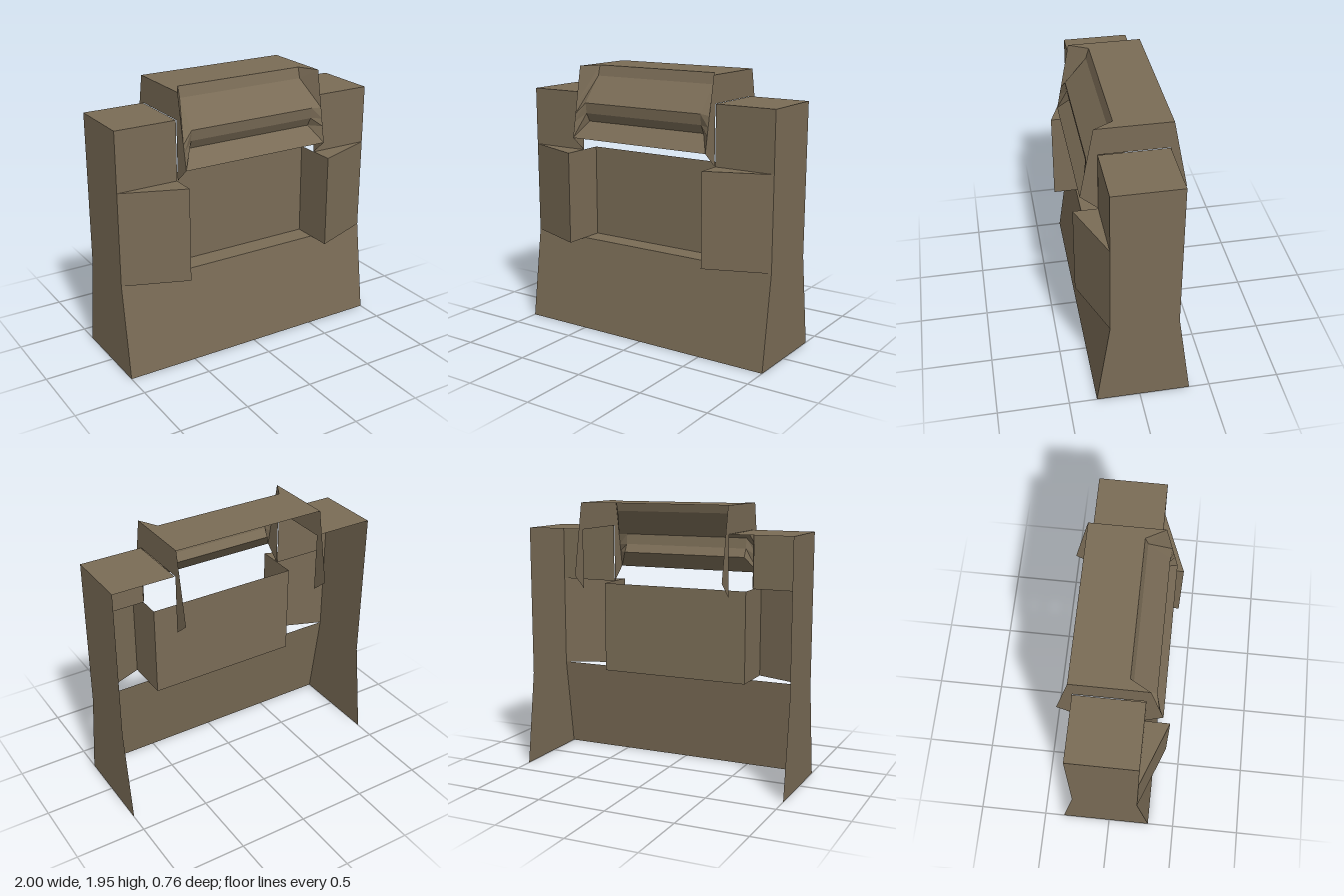
import * as THREE from 'three';

const W = 1, IN = 0.56, HEAD = 0.555, INNER = 0.48; // half widths
const FRONT = 0.21, BACK = -0.26;                    // upright depth
const LOW = 0.67, MID = 1.335, TOP = 1.755, CROWN = 1.945;

export function createModel() {
  const group = new THREE.Group();
  const shell = new THREE.MeshStandardMaterial({ color: 0x7a6c56, side: THREE.DoubleSide, flatShading: true });
  shell.name = 'drabBrown';

  const add = (name, geometry) => {
    const mesh = new THREE.Mesh(geometry, shell);
    mesh.name = name;
    group.add(mesh);
    return mesh;
  };

  // Convex sheets, each a list of [x, y, z] corners, counter-clockwise from outside
  const sheets = (name, faces) => {
    const pos = [];
    for (const f of faces) {
      for (let i = 1; i < f.length - 1; i++) pos.push(...f[0], ...f[i], ...f[i + 1]);
    }
    const g = new THREE.BufferGeometry();
    g.setAttribute('position', new THREE.Float32BufferAttribute(pos, 3));
    g.computeVertexNormals();
    return add(name, g);
  };

  // Same sheet on both sides; the mirrored copy has its corner order reversed
  const pair = (name, faces) => {
    sheets(name + 'Left', faces);
    sheets(name + 'Right', faces.map(f => f.map(([x, y, z]) => [-x, y, z]).reverse()));
  };

  // Flat side panels from a [z, y] outline
  const sidePanels = (name, outline, x) => {
    const shape = new THREE.Shape(outline.map(p => new THREE.Vector2(...p)));
    for (const s of [1, -1]) {
      const g = new THREE.ShapeGeometry(shape);
      g.rotateY(-Math.PI / 2); // outline x becomes z, facing -x
      if (s > 0) {
        const idx = g.index.array;
        for (let i = 0; i < idx.length; i += 3) [idx[i], idx[i + 1]] = [idx[i + 1], idx[i]];
        g.computeVertexNormals();
      }
      g.translate(s * x, 0, 0);
      add(name + (s > 0 ? 'Left' : 'Right'), g);
    }
  };

  // Flared body sides
  sidePanels('bodySide', [[0.305, 0], [FRONT, LOW], [FRONT, TOP], [BACK, TOP], [BACK, LOW], [-0.355, 0]], W);

  // Sloping front of the base
  sheets('basePanel', [[[-W, 0, 0.305], [W, 0, 0.305], [W, LOW, FRONT], [-W, LOW, FRONT]]]);

  // Uprights: front and top
  pair('upright', [
    [[IN, MID, FRONT], [W, MID, FRONT], [W, TOP, FRONT], [IN, TOP, FRONT]],
    [[IN, TOP, FRONT], [W, TOP, FRONT], [W, TOP, BACK], [IN, TOP, BACK]],
  ]);

  // Angled cheeks beside the niche: slanted front, top, inner wall
  const CHEEK = 0.38, NICHE = 0.06;
  pair('cheek', [
    [[IN, LOW, CHEEK], [W, LOW, FRONT], [W, MID, FRONT], [IN, MID, CHEEK]],
    [[IN, MID, CHEEK], [W, MID, FRONT], [IN, MID, FRONT]],
    [[IN, LOW, NICHE], [IN, LOW, CHEEK], [IN, MID, CHEEK], [IN, MID, NICHE]],
  ]);

  // Niche back and ledge
  sheets('nicheBack', [[[-IN, LOW, NICHE], [IN, LOW, NICHE], [IN, MID, NICHE], [-IN, MID, NICHE]]]);
  sheets('nicheLedge', [[[-IN, LOW, FRONT], [IN, LOW, FRONT], [IN, LOW, NICHE], [-IN, LOW, NICHE]]]);

  // Head sides, notched around the uprights
  sidePanels('headSide', [
    [0.235, CROWN], [0.33, 1.44], [FRONT, MID], [FRONT, TOP],
    [BACK, TOP], [BACK, MID], [-0.38, 1.44], [-0.28, CROWN],
  ], HEAD);

  // Head top with a recessed front edge
  sheets('headTop', [
    [[-INNER, CROWN, 0.1], [INNER, CROWN, 0.1], [HEAD, CROWN, -0.28], [-HEAD, CROWN, -0.28]],
  ]);
  pair('headTopCorner', [[[INNER, CROWN, 0.1], [HEAD, CROWN, 0.235], [HEAD, CROWN, -0.28]]]);

  // Stepped head front: inner profile lofted out to the side rims, as [y, z]
  const inner = [[CROWN, 0.1], [1.87, 0.122], [1.69, 0.275], [1.615, 0.265], [1.555, 0.232]];
  const rim = [[CROWN, 0.235], [1.685, 0.284], [1.61, 0.298], [1.555, 0.308], [1.44, 0.33]];
  const front = [], bevel = [];
  for (let i = 0; i < 4; i++) {
    const a = inner[i], b = inner[i + 1];
    front.push([[-INNER, ...b], [INNER, ...b], [INNER, ...a], [-INNER, ...a]]);
    bevel.push([[INNER, ...b], [HEAD, ...rim[i + 1]], [HEAD, ...rim[i]], [INNER, ...a]]);
  }
  front.push([[-HEAD, ...rim[4]], [HEAD, ...rim[4]], [INNER, ...inner[4]], [-INNER, ...inner[4]]]);
  sheets('headFront', front);
  pair('headBevel', bevel);

  return group;
}
